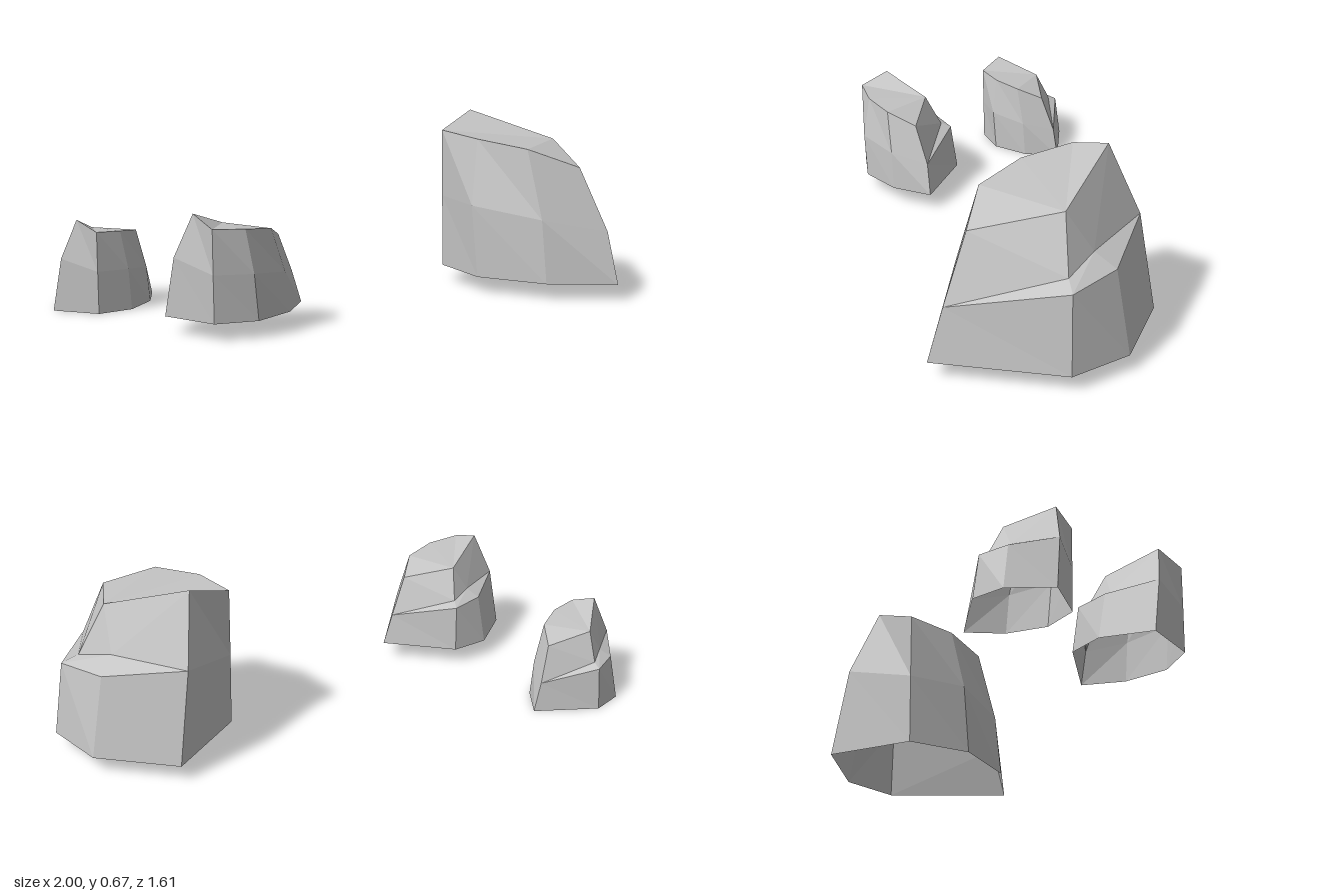
import * as THREE from 'three';

// Corners of the boulder: seven foot points, a middle ring, a back ledge and a crown
const P = {
  a0: [0.32, 0.06, -0.75], b0: [0.64, 0.06, -0.805], c0: [0.85, 0.06, -0.695], d0: [1.0, 0.06, -0.235],
  e0: [0.74, 0.06, -0.168], f0: [0.463, 0.06, -0.217], g0: [0.28, 0.06, -0.4],
  a1: [0.31, 0.41, -0.68], b1: [0.62, 0.36, -0.74], c1: [0.815, 0.345, -0.675], d1: [0.95, 0.255, -0.27],
  e1: [0.715, 0.3, -0.185], f1: [0.435, 0.335, -0.228], g1: [0.275, 0.34, -0.4],
  bIn: [0.62, 0.405, -0.655], cIn: [0.765, 0.37, -0.635],
  peak: [0.345, 0.665, -0.57], back: [0.68, 0.56, -0.578], d2: [0.835, 0.49, -0.295],
  e2: [0.645, 0.56, -0.235], f2: [0.44, 0.585, -0.285], g2: [0.272, 0.6, -0.4],
};

// Flat polygons, each split into a fan from its first corner
function boulderGeometry() {
  const faces = [];
  // Lower wall all the way round
  const ring = 'abcdefg';
  for (let i = 0; i < 7; i++) {
    const p = ring[i], q = ring[(i + 1) % 7];
    faces.push([p + '0', p + '1', q + '1', q + '0']);
  }
  // Upper wall on the front
  for (const [p, q] of ['de', 'ef', 'fg']) faces.push([p + '1', p + '2', q + '2', q + '1']);
  faces.push(
    ['g1', 'g2', 'peak', 'a1'],               // side wall
    ['a1', 'peak', 'bIn'],                    // back wall above the ledge
    ['bIn', 'peak', 'back', 'cIn'],
    ['cIn', 'back', 'd2', 'd1', 'c1'],        // other side wall
    ['bIn', 'cIn', 'c1', 'b1', 'a1'],         // ledge
    ['back', 'peak', 'g2', 'f2', 'e2', 'd2'], // crown
  );
  const pos = [];
  for (const f of faces)
    for (let i = 1; i < f.length - 1; i++) pos.push(...P[f[0]], ...P[f[i]], ...P[f[i + 1]]);
  const geo = new THREE.BufferGeometry();
  geo.setAttribute('position', new THREE.Float32BufferAttribute(pos, 3));
  geo.translate(-0.611, -0.06, 0.47); // foot centre to the origin
  geo.computeVertexNormals();
  return geo;
}

export function createModel() {
  const group = new THREE.Group();
  group.name = 'rocks';
  // The shells are open underneath
  const stone = new THREE.MeshStandardMaterial({ color: 0xc3c3c3, flatShading: true, side: THREE.DoubleSide });
  stone.name = 'stone grey';
  const geo = boulderGeometry();

  // One boulder shape, turned and scaled for each rock
  const rocks = [
    ['largeRock', [0.611, 0.06, -0.47], 0, 1, 1],
    ['mediumRock', [-0.226, 0.062, 0.591], 1.41, 0.605, 0.605],
    ['smallRock', [-0.826, 0, 0.376], 1.69, 0.517, 0.56],
  ];
  for (const [name, position, turn, width, height] of rocks) {
    const rock = new THREE.Mesh(geo, stone);
    rock.name = name;
    rock.position.set(...position);
    rock.rotation.y = turn;
    rock.scale.set(width, height, width);
    group.add(rock);
  }
  return group;
}
